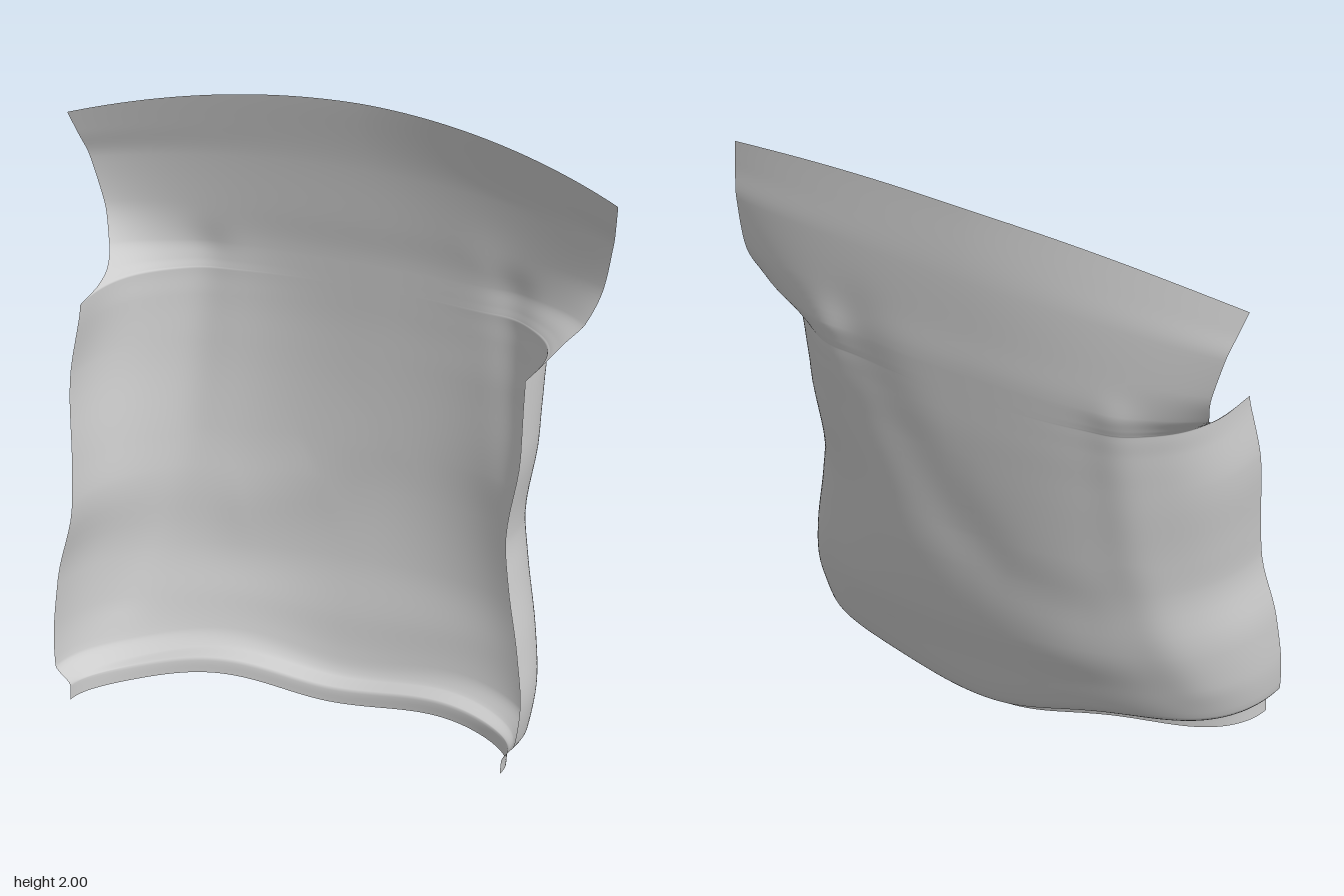
import * as THREE from 'three';

// Horizontal sections of the draped sheet: [y, centre z, front z, squareness]
const SECTIONS = [
  [0.00, -0.045, 0.33, 2.1],
  [0.045, -0.055, 0.33, 2.1],
  [0.06, -0.13, 0.328, 2.2],
  [0.11, -0.16, 0.325, 2.35],
  [0.25, -0.20, 0.315, 2.45],
  [0.42, -0.25, 0.295, 2.48],
  [0.65, -0.29, 0.265, 2.5],
  [0.80, -0.305, 0.24, 2.52],
  [1.08, -0.325, 0.20, 2.62],
  [1.24, -0.33, 0.178, 2.85],
  [1.33, -0.33, 0.165, 3.0],
  [1.42, -0.33, 0.165, 2.8],
  [1.56, -0.32, 0.165, 2.4],
  [1.75, -0.305, 0.165, 2.0],
  [2.00, -0.262, 0.165, 1.7],
];

// Side seam and armhole edge: [y, edge z, edge x at -x, edge x at +x, drop of the edge]
const EDGE = [
  [0.00, 0.33, 0.76, 0.755, 0],
  [0.045, 0.33, 0.76, 0.76, 0],
  [0.11, 0.325, 0.815, 0.805, 0],
  [0.25, 0.315, 0.825, 0.82, 0],
  [0.42, 0.295, 0.82, 0.80, 0],
  [0.65, 0.265, 0.785, 0.755, 0],
  [0.80, 0.24, 0.795, 0.735, 0],
  [1.08, 0.20, 0.82, 0.77, 0],
  [1.325, 0.166, 0.80, 0.77, 0],
  [1.335, 0.03, 0.803, 0.775, 0],
  [1.36, -0.07, 0.812, 0.79, 0],
  [1.42, -0.15, 0.84, 0.84, 0.003],
  [1.56, -0.193, 0.877, 0.888, 0.02],
  [1.75, -0.183, 0.922, 0.925, 0.06],
  [1.88, -0.15, 0.95, 0.95, 0.10],
  [2.00, -0.12, 0.975, 0.97, 0.14],
];

// Monotone cubic through one column of a table whose first column is y
function sample(table, y, column) {
  let i = 0;
  while (i < table.length - 2 && y > table[i + 1][0]) i++;
  const slope = (n) => {
    const s = THREE.MathUtils.clamp(n, 0, table.length - 2);
    return (table[s + 1][column] - table[s][column]) / (table[s + 1][0] - table[s][0]);
  };
  const tangent = (n) => {
    const a = slope(n - 1), b = slope(n);
    return a * b > 0 ? 2 * a * b / (a + b) : 0;
  };
  const h = table[i + 1][0] - table[i][0], t = (y - table[i][0]) / h;
  const p1 = table[i][column], p2 = table[i + 1][column];
  const m1 = tangent(i) * h, m2 = tangent(i + 1) * h;
  return p1 + m1 * t + (3 * (p2 - p1) - 2 * m1 - m2) * t * t
    + (2 * (p1 - p2) + m1 + m2) * t * t * t;
}

// Soft cloth folds: path of x, y points, width and depth
const FOLDS = [
  { path: [[-0.40, 0.58], [-0.15, 0.66], [0.05, 0.85], [0.25, 1.15], [0.42, 1.45]], width: 0.12, depth: 0.010 },
  { path: [[-0.57, 1.38], [-0.60, 0.80], [-0.66, 0.50], [-0.74, 0.25]], width: 0.08, depth: -0.016 },
  { path: [[0.52, 1.40], [0.57, 0.85], [0.66, 0.50], [0.76, 0.28]], width: 0.08, depth: -0.016 },
];
function foldDepth(x, y) {
  let total = 0;
  for (const { path, width, depth } of FOLDS) {
    let nearest = Infinity;
    for (let i = 0; i < path.length - 1; i++) {
      const [x0, y0] = path[i], dx = path[i + 1][0] - x0, dy = path[i + 1][1] - y0;
      const t = THREE.MathUtils.clamp(((x - x0) * dx + (y - y0) * dy) / (dx * dx + dy * dy), 0, 1);
      nearest = Math.min(nearest, Math.hypot(x - x0 - t * dx, y - y0 - t * dy));
    }
    total += depth * Math.exp(-((nearest / width) ** 2));
  }
  return total;
}

// One row of points from the -x edge to the +x edge
function clothRow(level, cols) {
  const [zC, zF, n] = [1, 2, 3].map((c) => sample(SECTIONS, level, c));
  const [zE, xR, xL, drop] = [1, 2, 3, 4].map((c) => sample(EDGE, level, c));
  const wrapEnd = Math.min((zE - zC) / (zF - zC), 1);
  const aEnd = Math.acos(Math.pow(1 - wrapEnd, n / 2));
  const acrossEnd = Math.pow(Math.sin(aEnd), 2 / n);
  const hemFade = 1 - THREE.MathUtils.smoothstep(level, 0.1, 0.4);
  const points = [];
  for (let i = 0; i <= cols; i++) {
    const u = -1 + 2 * i / cols, a = Math.abs(u) * aEnd;
    const across = Math.pow(Math.sin(a), 2 / n) / acrossEnd;
    const wrap = 1 - Math.pow(Math.max(Math.cos(a), 0), 2 / n);
    const x = u < 0 ? -across * xR : across * xL;
    // wavy hem, and shoulder line sloping down to the sides
    const wave = Math.sin(Math.PI * Math.min(Math.abs(x) / 0.8, 1)) ** 2;
    const y = level - drop * across ** 2
      + hemFade * (wave * (u < 0 ? 0.048 : 0.03) + 0.02 * across ** 2);
    const foldFade = (1 - wrap) * THREE.MathUtils.smoothstep(level, 0.1, 0.25);
    points.push(x, y, zC + (zF - zC) * wrap + foldDepth(x, y) * foldFade);
  }
  return points;
}

export function createModel() {
  const group = new THREE.Group();
  group.name = 'garmentBack';

  // Row heights: every table height, evenly subdivided
  const knots = [...new Set([...SECTIONS, ...EDGE].map((row) => row[0]))].sort((a, b) => a - b);
  const levels = [0];
  for (let i = 1; i < knots.length; i++) {
    for (let s = 1; s <= 6; s++) levels.push(THREE.MathUtils.lerp(knots[i - 1], knots[i], s / 6));
  }

  const cols = 140;
  const positions = levels.flatMap((level) => clothRow(level, cols));
  const indices = [];
  for (let j = 0; j < levels.length - 1; j++) {
    for (let i = 0; i < cols; i++) {
      const a = j * (cols + 1) + i, b = a + 1, c = a + cols + 1, d = c + 1;
      indices.push(a, c, b, b, c, d);
    }
  }
  const geometry = new THREE.BufferGeometry();
  geometry.setAttribute('position', new THREE.Float32BufferAttribute(positions, 3));
  geometry.setIndex(indices);
  geometry.computeVertexNormals();

  // Draped back panel with armholes and tucked hem
  const panel = new THREE.Mesh(geometry, new THREE.MeshStandardMaterial({
    color: 0xcccccc, side: THREE.DoubleSide,
  }));
  panel.name = 'backPanel';
  group.add(panel);
  return group;
}
